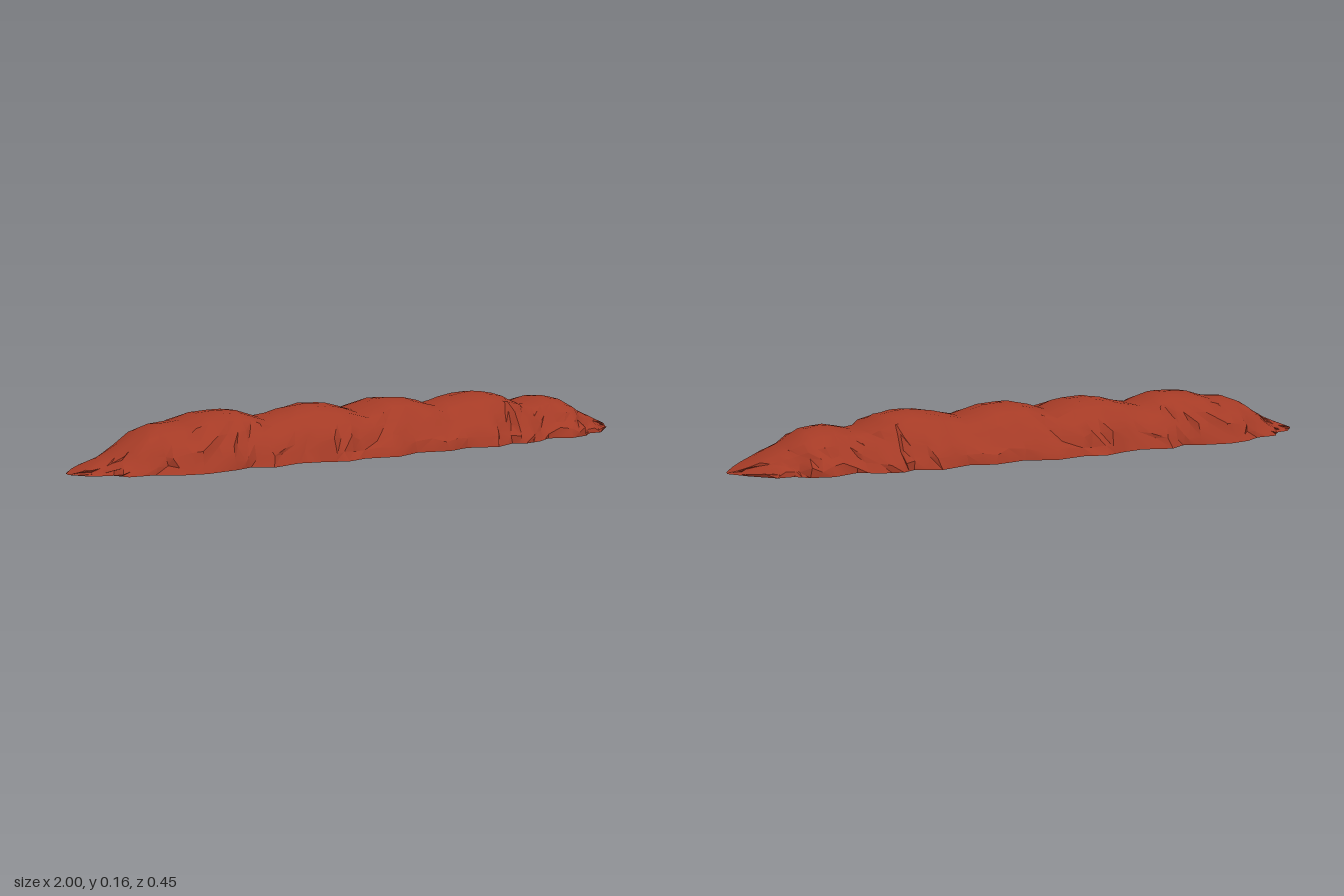
import * as THREE from 'three';
import { toCreasedNormals } from 'three/addons/utils/BufferGeometryUtils.js';

// Ridge line: x, height
const RIDGE = [
  [-1, 0], [-0.9, 0.04], [-0.85, 0.06], [-0.8, 0.1], [-0.72, 0.13], [-0.65, 0.133], [-0.57, 0.158],
  [-0.46, 0.156], [-0.37, 0.125], [-0.3, 0.14], [-0.23, 0.16], [-0.13, 0.155], [-0.04, 0.127],
  [0.03, 0.155], [0.12, 0.16], [0.19, 0.15], [0.25, 0.125], [0.35, 0.15], [0.44, 0.16],
  [0.52, 0.145], [0.6, 0.106], [0.7, 0.13], [0.77, 0.115], [0.83, 0.078], [0.9, 0.045], [1, 0.002],
];
// Footprint outline: x, half width
const OUTLINE = [
  [-1, 0.015], [-0.95, 0.075], [-0.89, 0.09], [-0.86, 0.138], [-0.78, 0.145], [-0.72, 0.185], [-0.64, 0.203],
  [-0.53, 0.185], [-0.48, 0.165], [-0.42, 0.203], [-0.32, 0.175], [-0.25, 0.19], [-0.17, 0.22],
  [-0.1, 0.2], [0.01, 0.223], [0.1, 0.185], [0.21, 0.21], [0.29, 0.185], [0.39, 0.22], [0.47, 0.185],
  [0.51, 0.208], [0.58, 0.192], [0.64, 0.155], [0.72, 0.187], [0.79, 0.17], [0.83, 0.135],
  [0.88, 0.135], [0.95, 0.07], [1, 0.01],
];
// Half cross-section from base to ridge: width fraction, height fraction
const PROFILE = [[1, 0], [0.94, 0.2], [0.83, 0.42], [0.69, 0.65], [0.51, 0.87], [0.27, 0.97], [0, 1]];

function sample(table, x) {
  for (let i = 1; i < table.length; i++) {
    const [x0, v0] = table[i - 1], [x1, v1] = table[i];
    if (x <= x1) return v0 + (v1 - v0) * Math.max(0, (x - x0) / (x1 - x0));
  }
  return table[table.length - 1][1];
}

// Repeatable value in -1..1 for a grid cell
function noise(i, j) {
  const s = Math.sin(i * 127.1 + j * 311.7) * 43758.5453;
  return (s - Math.floor(s)) * 2 - 1;
}

function meshFrom(name, positions, indices, material, crease) {
  const geometry = new THREE.BufferGeometry();
  geometry.setAttribute('position', new THREE.Float32BufferAttribute(positions, 3));
  geometry.setIndex(indices);
  const mesh = new THREE.Mesh(toCreasedNormals(geometry, crease), material);
  mesh.name = name;
  return mesh;
}

export function createModel() {
  const group = new THREE.Group();
  group.name = 'rockMound';
  const rock = new THREE.MeshStandardMaterial({ color: 0xa53b26 });
  rock.name = 'redRock';

  // Cross-sections at every outline corner, with one between neighbours
  const stations = [];
  OUTLINE.forEach(([x], i) => {
    if (i) stations.push((x + OUTLINE[i - 1][0]) / 2);
    stations.push(x);
  });

  const last = PROFILE.length - 1, columns = last * 2 + 1;
  const positions = [], indices = [];
  stations.forEach((x, i) => {
    const isEnd = i === 0 || i === stations.length - 1;
    for (let c = 0; c < columns; c++) {
      const j = c <= last ? c : columns - 1 - c;
      const side = c <= last ? 1 : -1;
      const rough = isEnd || j === 0 || j === last ? 0 : 1;
      // Lobes lean along the mound as they climb
      const px = x + rough * 0.011 * noise(i, j);
      const lean = 0.02 * Math.sin(j * 1.7 + i) * rough;
      const width = sample(OUTLINE, px + lean) * (PROFILE[j][0] + rough * 0.05 * noise(i + 31, j));
      const height = sample(RIDGE, px) * (PROFILE[j][1] + rough * (1 - j / last) * 0.09 * noise(i, j + 17));
      positions.push(px, height, side * width);
    }
  });
  for (let i = 0; i < stations.length - 1; i++) {
    for (let c = 0; c < columns - 1; c++) {
      const a = i * columns + c, b = a + columns;
      // Mirror the diagonals across the ridge
      if (c < last) indices.push(a, b, b + 1, a, b + 1, a + 1);
      else indices.push(a, b, a + 1, b, b + 1, a + 1);
    }
  }
  group.add(meshFrom('rockSurface', positions, indices, rock, 0.6));

  // Flat underside
  const basePositions = [], baseIndices = [];
  stations.forEach((x, i) => {
    const w = sample(OUTLINE, x), k = i * 2;
    basePositions.push(x, 0, w, x, 0, -w);
    if (i < stations.length - 1) baseIndices.push(k, k + 1, k + 3, k, k + 3, k + 2);
  });
  group.add(meshFrom('underside', basePositions, baseIndices, rock, 0.3));

  return group;
}
